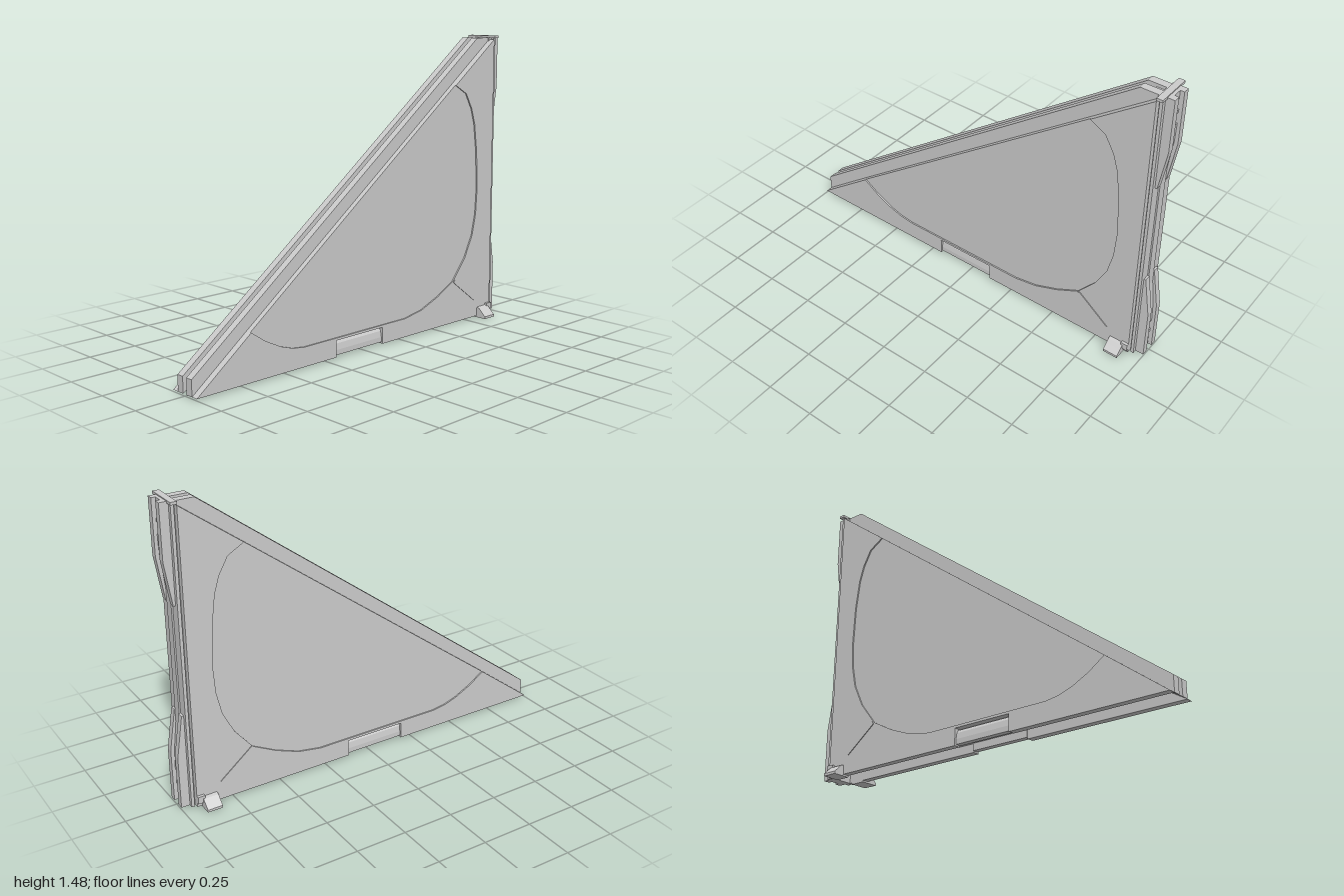
import * as THREE from 'three';

const material = new THREE.MeshStandardMaterial({ color: 0xcccccc, flatShading: true });

export function createModel() {
  const model = new THREE.Group();
  model.name = 'triangularWallPanel';

  const add = (name, geometry) => {
    const mesh = new THREE.Mesh(geometry, material);
    mesh.name = name;
    model.add(mesh);
    return mesh;
  };
  const box = (name, x0, x1, y0, y1, z0, z1) => {
    const mesh = add(name, new THREE.BoxGeometry(x1 - x0, y1 - y0, z1 - z0));
    mesh.position.set((x0 + x1) / 2, (y0 + y1) / 2, (z0 + z1) / 2);
    return mesh;
  };
  // Outline in x,y extruded between two depths
  const slab = (name, points, z0, z1) => {
    const shape = new THREE.Shape(points.map(([x, y]) => new THREE.Vector2(x, y)));
    const geometry = new THREE.ExtrudeGeometry(shape, { depth: z1 - z0, bevelEnabled: false });
    geometry.translate(0, 0, z0);
    return add(name, geometry);
  };
  // The same slab on the front and the back
  const slabPair = (name, points, z0, z1) => {
    slab(name + 'Front', points, z0, z1);
    slab(name + 'Back', points, -z1, -z0);
  };

  // Curved edge of the recessed field, from the low corner to the high one
  const curve = [
    [-0.70, 0.235], [-0.62, 0.18], [-0.53, 0.135], [-0.46, 0.112], [-0.39, 0.102],
    [0.28, 0.102], [0.40, 0.122], [0.52, 0.168], [0.64, 0.23], [0.73, 0.34],
    [0.785, 0.45], [0.81, 0.56], [0.818, 0.68], [0.81, 0.88], [0.79, 1.03],
    [0.765, 1.11], [0.72, 1.19], [0.64, 1.236],
  ];

  // Outer frame plates with the handle notch, and the recessed field
  slabPair('framePlate', [
    [-1, 0.008], [-0.19, 0.008], [-0.19, 0.09], [0.12, 0.09], [0.12, 0.008],
    [0.935, 0.008], [0.935, 1.456], ...[...curve].reverse(),
  ], 0.05, 0.084);
  slabPair('recessedField', curve, 0.045, 0.077);

  // Twin ridges along the slope, with a groove between them
  slabPair('slopeRidge', [
    [-1, 0.008], [-0.93, 0.05], [0.935, 0.05], [0.935, 1.465], [0.84, 1.465], [-1, 0.085],
  ], 0.013, 0.05);
  slab('centreWeb', [
    [-0.97, 0.035], [-0.9, 0.075], [0.935, 0.075], [0.935, 1.45], [0.88, 1.45], [-0.97, 0.06],
  ], -0.014, 0.014);

  // Short diagonal rib in the lower corner
  slabPair('cornerRib', [[0.64, 0.222], [0.805, 0.098], [0.812, 0.104], [0.65, 0.235]], 0.08, 0.088);

  // Rounded grip bar inside the notch
  const grip = new THREE.Shape([
    [-0.06, 0.085], [-0.07, 0.07], [-0.075, 0.04], [-0.075, 0.015], [-0.045, 0.015], [-0.045, 0.055],
    [0.045, 0.055], [0.045, 0.015], [0.075, 0.015], [0.075, 0.04], [0.07, 0.07], [0.06, 0.085],
  ].map(([z, y]) => new THREE.Vector2(z, y)));
  const gripGeometry = new THREE.ExtrudeGeometry(grip, { depth: 0.31, bevelEnabled: false });
  gripGeometry.rotateY(Math.PI / 2).translate(-0.19, 0, 0);
  add('gripBar', gripGeometry);

  // Upright post: neck, flange, spine and top cap
  box('postNeck', 0.925, 0.95, 0.008, 1.465, -0.058, 0.058);
  box('postFlange', 0.943, 0.958, 0.008, 1.468, -0.072, 0.072);
  box('postSpine', 0.957, 0.965, 0.008, 1.468, -0.022, 0.022);
  box('topCap', 0.935, 0.965, 1.462, 1.475, -0.088, 0.088);

  // Tapered connector rails and clips, mirrored about mid height
  for (const [end, flip] of [['lower', (y) => y], ['upper', (y) => 1.48 - y]]) {
    const outline = (points) => points.map(([x, y]) => [x, flip(y)]);
    slabPair(end + 'Rail', outline([
      [0.955, 0.01], [1, 0.01], [1, 0.27], [0.968, 0.475], [0.955, 0.475],
    ]), 0.022, 0.053);
    slab(end + 'RailFiller', outline([
      [0.955, 0.17], [0.985, 0.17], [0.982, 0.27], [0.965, 0.415], [0.955, 0.415],
    ]), -0.023, 0.023);
    slab(end + 'Clip', outline([
      [0.955, 0.085], [0.985, 0.1], [0.985, 0.115], [0.955, 0.135],
    ]), -0.02, 0.02);
    slab(end + 'RailStop', outline([
      [0.955, 0.01], [0.98, 0.01], [0.98, 0.06], [0.955, 0.06],
    ]), -0.023, 0.023);
  }

  // Wedge feet on both sides near the post
  for (const side of [1, -1]) {
    const foot = new THREE.Shape([
      [0.05, 0], [0.14, 0], [0.14, 0.012], [0.115, 0.035], [0.1, 0.05], [0.084, 0.055], [0.05, 0.055],
    ].map(([z, y]) => new THREE.Vector2(-z, y)));
    const geometry = new THREE.ExtrudeGeometry(foot, { depth: 0.075, bevelEnabled: false });
    geometry.rotateY(Math.PI / 2).translate(-0.0375, 0, 0);
    const mesh = add(side > 0 ? 'footFront' : 'footBack', geometry);
    mesh.rotation.y = side > 0 ? 0 : Math.PI;
    mesh.position.x = 0.872;
    box('footHeel', 0.9, 0.935, 0.03, 0.065, side > 0 ? 0.08 : -0.098, side > 0 ? 0.098 : -0.08);
  }
  return model;
}
